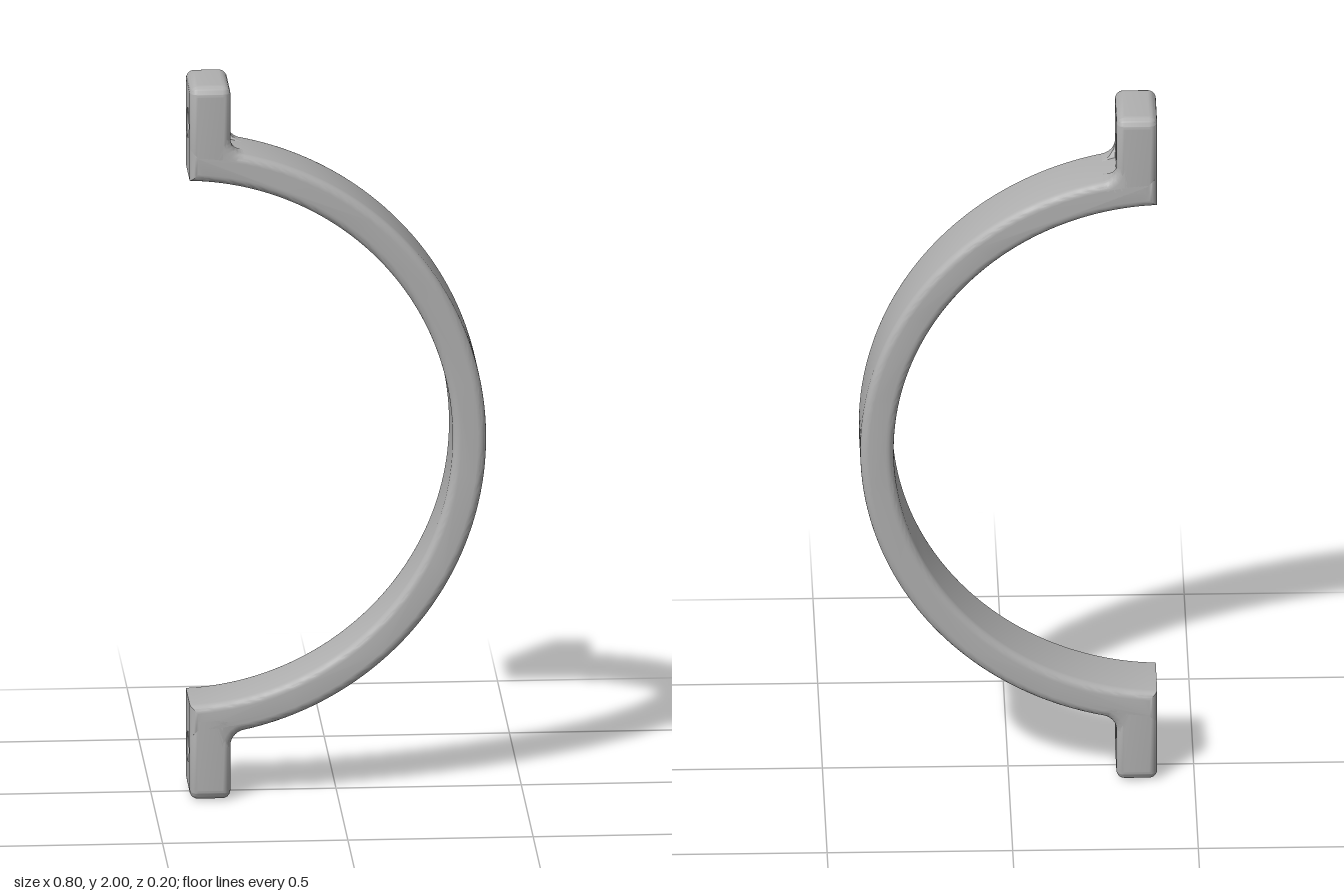
import * as THREE from 'three';
import { toCreasedNormals } from 'three/addons/utils/BufferGeometryUtils.js';

// Bracket dimensions; y is measured from the middle of the bracket
const CX = -0.4255, INNER = 0.7355, OUTER = 0.8255; // arc centre and radii
const BACK = -0.4, TAB_FRONT = -0.29, HALF = 0.1;   // tab depth, half width
const EDGE = 0.022;                                 // rounded edge radius
const HOLE_Y = 0.875, HOLE_R = 0.042, SCOOP_R = 0.076;

function roundedExtrude(shape, depth, curveSegments) {
  return new THREE.ExtrudeGeometry(shape, {
    depth: depth - 2 * EDGE, bevelEnabled: true, bevelThickness: EDGE,
    bevelSize: EDGE, bevelOffset: -EDGE, bevelSegments: 5, curveSegments,
  });
}

// Half ring with rounded edges, cut off flat at the back
function bandGeometry() {
  const a = Math.acos((BACK - CX) / OUTER), b = Math.acos((BACK - CX) / INNER);
  const shape = new THREE.Shape();
  shape.absarc(CX, 0, OUTER, -a, a, false);
  shape.absarc(CX, 0, INNER, b, -b, true);
  const g = roundedExtrude(shape, 2 * HALF, 72);
  g.translate(0, 0, -HALF + EDGE);
  return toCreasedNormals(g, 0.6);
}

// Mounting tab with a straight screw hole along x
function tabGeometry() {
  const y0 = 0.75, y1 = 1, r = 0.028, w = HALF;
  const s = new THREE.Shape();
  s.moveTo(-w + r, y0);
  s.lineTo(w - r, y0);
  s.absarc(w - r, y0 + r, r, -Math.PI / 2, 0, false);
  s.absarc(w - r, y1 - r, r, 0, Math.PI / 2, false);
  s.absarc(-w + r, y1 - r, r, Math.PI / 2, Math.PI, false);
  s.absarc(-w + r, y0 + r, r, Math.PI, Math.PI * 1.5, false);
  s.holes.push(new THREE.Path().absarc(0, HOLE_Y, HOLE_R, 0, Math.PI * 2, true));
  const g = roundedExtrude(s, TAB_FRONT - BACK, 16);
  // Pull the hole's rounded rim back to a plain cylinder
  const p = g.attributes.position;
  for (let i = 0; i < p.count; i++) {
    const x = p.getX(i), y = p.getY(i) - HOLE_Y, d = Math.hypot(x, y);
    if (d < 0.072) p.setXY(i, x * HOLE_R / d, HOLE_Y + y * HOLE_R / d);
  }
  g.rotateY(Math.PI / 2);
  g.translate(BACK + EDGE, 0, 0);
  return toCreasedNormals(g, 0.6);
}

// Concave fillet between tab and band, scooped out around the screw hole
function filletGeometry() {
  const rho = 0.045, cx = TAB_FRONT + rho;
  const cy = Math.sqrt((OUTER + rho) ** 2 - (cx - CX) ** 2);
  const end = Math.PI + Math.atan2(cy, cx - CX);
  const rows = 60, cols = 14, pos = [], index = [];
  for (let j = -1; j <= rows + 1; j++) {
    const capRow = j < 0 || j > rows; // collapses to a point to close the side
    const z = -HALF + 2 * HALF * Math.min(Math.max(j, 0), rows) / rows;
    const e = Math.max(0, Math.abs(z) - HALF + EDGE);
    const inset = EDGE - Math.sqrt(Math.max(0, EDGE * EDGE - e * e));
    for (let i = 0; i <= cols; i++) {
      const a = Math.PI + (end - Math.PI) * i / cols;
      let x = cx + (rho + inset) * Math.cos(a);
      let y = cy + (rho + inset) * Math.sin(a);
      if (Math.abs(z) < SCOOP_R) y = Math.min(y, HOLE_Y - Math.sqrt(SCOOP_R ** 2 - z * z));
      if (capRow) { x = -0.335; y = 0.775; }
      pos.push(x, y, z);
    }
  }
  const n = cols + 1;
  for (let j = 0; j < rows + 2; j++) for (let i = 0; i < cols; i++) {
    const a = j * n + i, b = a + n;
    index.push(a, b, a + 1, b, b + 1, a + 1);
  }
  const g = new THREE.BufferGeometry();
  g.setAttribute('position', new THREE.Float32BufferAttribute(pos, 3));
  g.setIndex(index);
  return toCreasedNormals(g, 0.6);
}

export function createModel() {
  const grey = new THREE.MeshStandardMaterial({ color: 0xb0b0b0 });
  grey.name = 'plain grey';
  const model = new THREE.Group();
  model.name = 'pipeBracket';
  const add = (parent, geometry, name) => {
    const m = new THREE.Mesh(geometry, grey);
    m.name = name;
    parent.add(m);
  };

  const bracket = new THREE.Group();
  bracket.name = 'bracket';
  bracket.position.y = 1;
  model.add(bracket);
  add(bracket, bandGeometry(), 'curvedBand');

  // The lower end is the upper end turned over
  const tab = tabGeometry(), fillet = filletGeometry();
  for (const [name, turn] of [['upperEnd', 0], ['lowerEnd', Math.PI]]) {
    const end = new THREE.Group();
    end.name = name;
    end.rotation.x = turn;
    add(end, tab, 'mountingTab');
    add(end, fillet, 'fillet');
    bracket.add(end);
  }
  return model;
}
